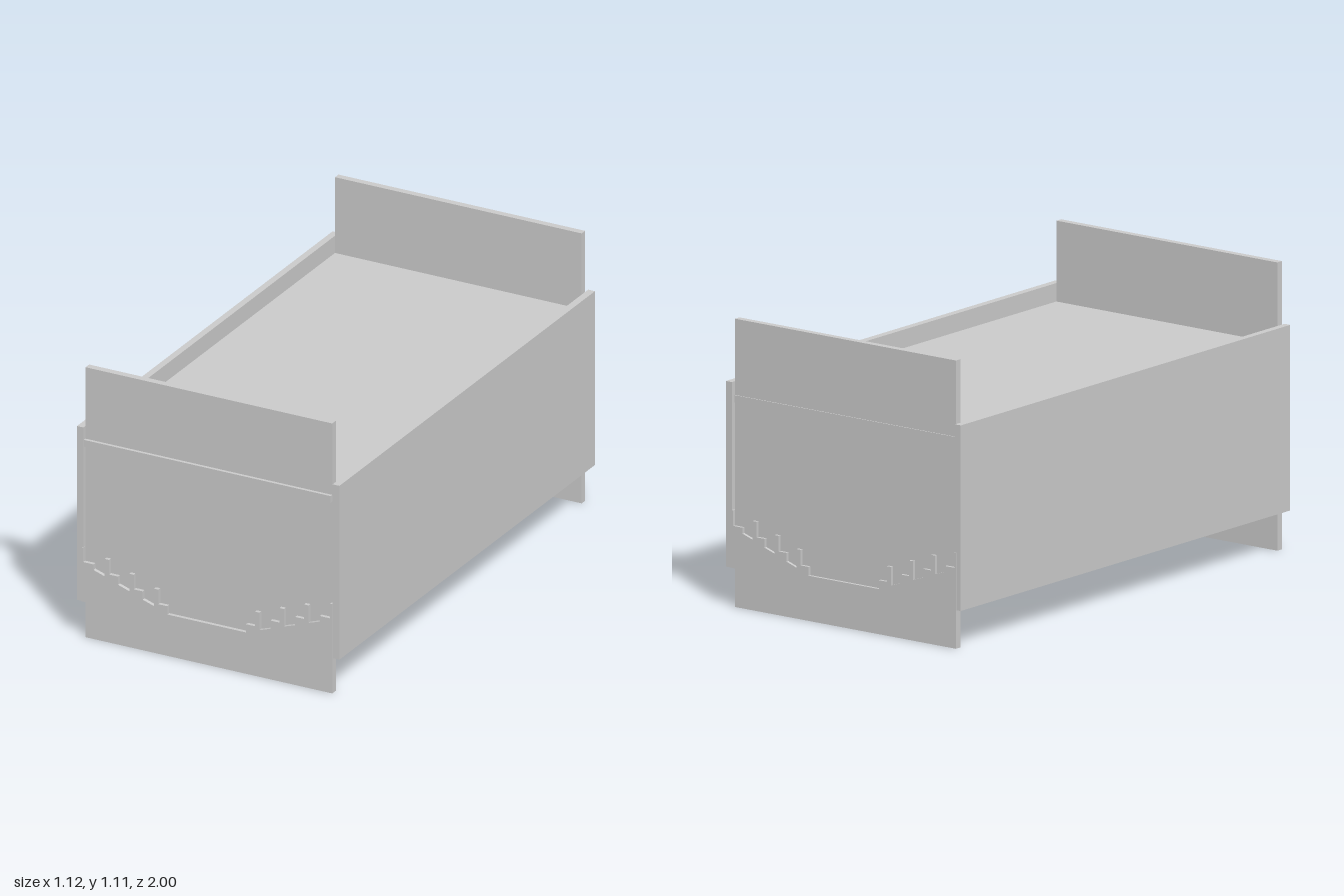
import * as THREE from 'three';

export function createModel() {
  const group = new THREE.Group();
  group.name = 'bed';
  const material = new THREE.MeshStandardMaterial({ color: 0xcccccc, flatShading: true });

  // Box given by its limits on each axis
  const box = (name, [x0, x1], [y0, y1], [z0, z1]) => {
    const mesh = new THREE.Mesh(new THREE.BoxGeometry(x1 - x0, y1 - y0, z1 - z0), material);
    mesh.position.set((x0 + x1) / 2, (y0 + y1) / 2, (z0 + z1) / 2);
    mesh.name = name;
    group.add(mesh);
  };

  const width = [-0.53, 0.523];

  // Long side panels
  box('leftSidePanel', [0.531, 0.56], [0.152, 0.868], [-0.997, 0.997]);
  box('rightSidePanel', [-0.56, -0.533], [0.152, 0.868], [-0.997, 0.997]);

  // Mattress block between the end boards
  box('mattress', width, [0.152, 0.8], [-0.962, 0.958]);

  // End boards, reaching down to the ground as feet
  box('footBoard', width, [0, 1.112], [0.957, 0.985]);
  box('headBoard', width, [0, 1.112], [-0.988, -0.961]);

  // Thin rails across the end boards
  box('footRail', width, [0.79, 0.818], [0.98, 0.998]);
  box('headRail', width, [0.79, 0.818], [-0.992, -0.98]);

  // Stepped skyline on the lower end boards: half profile from the middle outwards
  const middle = -0.005;
  const half = [[0.168, 0.178]];
  for (let i = 0; i < 3; i++) {
    const x = 0.168 + i * 0.105, y = 0.212 + i * 0.038;
    half.push(
      [x, y], [x + 0.038, y],
      [x + 0.038, y + 0.06], [x + 0.057, y + 0.06],
      [x + 0.057, y - 0.012], [x + 0.105, y + 0.004]
    );
  }
  half.push([0.483, 0.315], [0.527, 0.315], [0.527, 0.375], [0.535, 0.375], [0.535, 0.152]);
  const outline = [
    ...half.map(([x, y]) => new THREE.Vector2(middle + x, y)),
    ...half.map(([x, y]) => new THREE.Vector2(middle - x, y)).reverse()
  ];
  const skyline = new THREE.ExtrudeGeometry(new THREE.Shape(outline), { depth: 0.016, bevelEnabled: false });
  for (const [name, z] of [['footSkyline', 0.984], ['headSkyline', -1]]) {
    const mesh = new THREE.Mesh(skyline, material);
    mesh.name = name;
    mesh.position.z = z;
    group.add(mesh);
  }

  return group;
}
